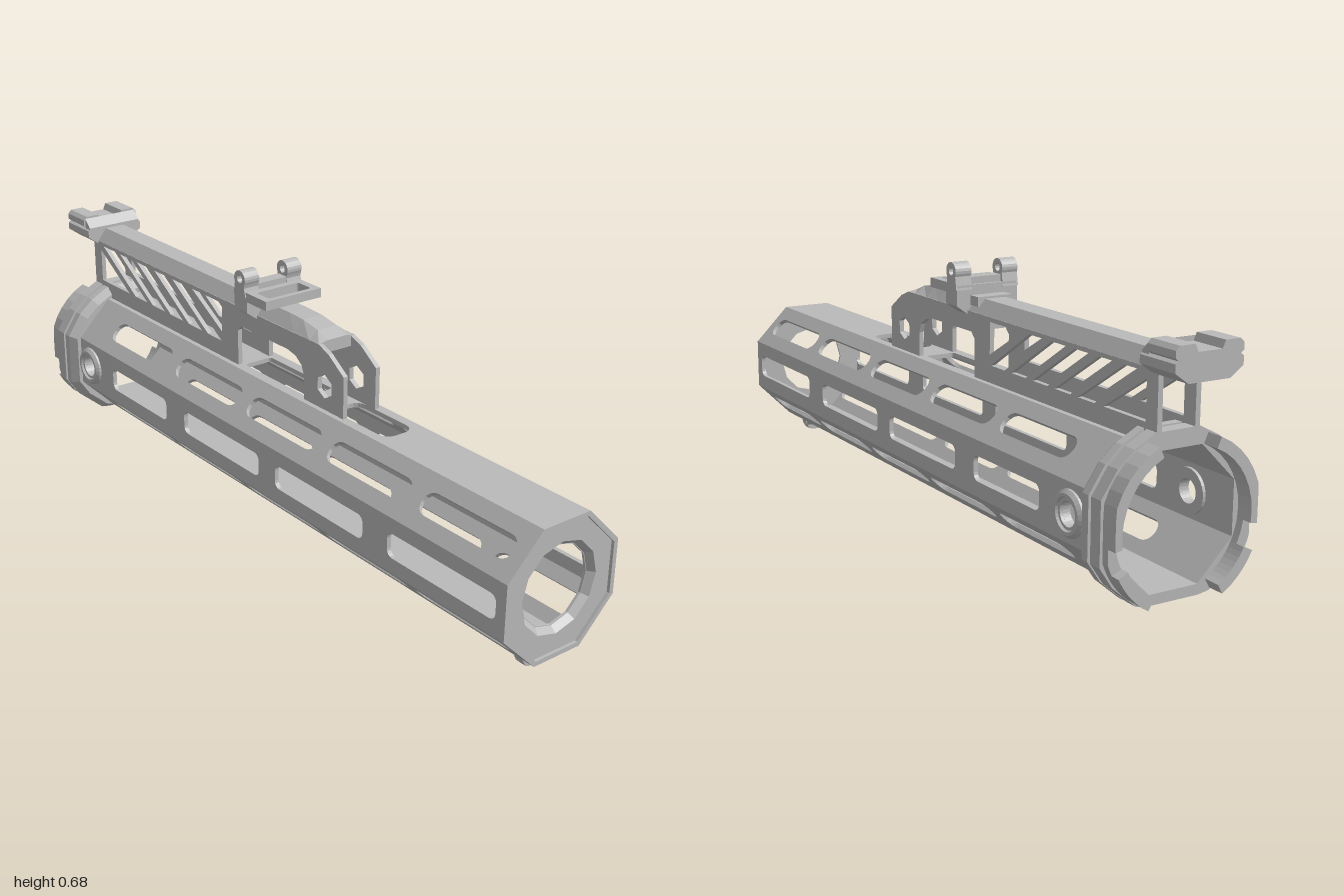
import * as THREE from 'three';

const CY = 0.217, AP = 0.173; // tube axis height and octagon apothem
const metal = new THREE.MeshStandardMaterial({ color: 0xbababa });
metal.name = 'grey metal';

const poly = (pts, C = THREE.Shape) => new C(pts.map(p => new THREE.Vector2(p[0], p[1])));
const ngon = (n, r, a0 = 0, cx = 0, cy = 0) => Array.from({ length: n }, (_, i) => {
  const a = a0 + i * Math.PI * 2 / n;
  return [cx + r * Math.cos(a), cy + r * Math.sin(a)];
});
const octagon = ap => ngon(8, ap / Math.cos(Math.PI / 8), Math.PI / 8);
const mirrored = half => [...half, ...half.slice().reverse().map(p => [-p[0], p[1]])];

// rectangular opening with rounded corners
function slot(x0, x1, y0, y1, r) {
  const pts = [];
  [[x1 - r, y1 - r], [x0 + r, y1 - r], [x0 + r, y0 + r], [x1 - r, y0 + r]].forEach(([cx, cy], q) => {
    for (let i = 0; i <= 4; i++) {
      const a = (q + i / 4) * Math.PI / 2;
      pts.push([cx + r * Math.cos(a), cy + r * Math.sin(a)]);
    }
  });
  return pts;
}

function extrude(outline, holes, depth) {
  const s = poly(outline);
  s.holes = holes.map(h => poly(h, THREE.Path));
  return new THREE.ExtrudeGeometry(s, { depth, bevelEnabled: false });
}
// outline in the x-y plane, spanning z0..z1
const alongZ = (o, h, z0, z1) => extrude(o, h, z1 - z0).translate(0, 0, z0);
// outline in the z-y plane, spanning x0..x1
const alongX = (o, h, x0, x1) => extrude(o, h, x1 - x0).rotateY(Math.PI / 2).translate(x0, 0, 0);

// skin over equal-length closed cross-sections of [x, y, z] points
function loft(sections, capped = true) {
  const v = [], n = sections[0].length;
  const tri = (a, b, c) => v.push(...a, ...b, ...c);
  for (let s = 0; s + 1 < sections.length; s++) for (let i = 0; i < n; i++) {
    const j = (i + 1) % n, A = sections[s], B = sections[s + 1];
    tri(A[i], A[j], B[j]);
    tri(A[i], B[j], B[i]);
  }
  if (capped) {
    const A = sections[0], B = sections[sections.length - 1];
    for (let i = 1; i + 1 < n; i++) { tri(A[0], A[i + 1], A[i]); tri(B[0], B[i], B[i + 1]); }
  }
  const g = new THREE.BufferGeometry();
  g.setAttribute('position', new THREE.Float32BufferAttribute(v, 3));
  g.computeVertexNormals();
  return g;
}
const ringAt = (pts, x) => pts.map(([z, y]) => [x, y + CY, -z]);

export function createModel() {
  const root = new THREE.Group();
  root.name = 'handguard';
  const add = (name, geo, parent = root) => {
    const m = new THREE.Mesh(geo, metal);
    m.name = name;
    parent.add(m);
    return m;
  };

  // octagonal tube: eight slotted panels
  const tube = new THREE.Group();
  tube.name = 'octagonTube';
  tube.position.y = CY;
  root.add(tube);
  const half = AP * Math.tan(Math.PI / 8), wall = 0.012;
  const sideSlots = [[-0.63, -0.34], [-0.25, 0.10], [0.17, 0.52], [0.61, 0.97]].map(([a, b]) => slot(a, b, -0.032, 0.032, 0.018));
  const diagSlots = [0, 1, 2, 3, 4].map(i => slot(-0.69 + i * 0.34, -0.395 + i * 0.34, -0.03, 0.03, 0.028));
  const topSlots = [slot(-0.14, 0.13, -0.043, 0.043, 0.01), slot(0.235, 0.45, -0.045, 0.045, 0.03)];
  const socketHole = ngon(20, 0.03, 0, -0.755, 0);
  for (let i = 0; i < 8; i++) {
    const holes = i % 2 ? diagSlots : i === 2 ? topSlots : i === 6 ? [] : [...sideSlots, socketHole];
    const panel = alongZ([[-0.86, -half], [1, -half], [1, half], [-0.86, half]], holes, AP - wall, AP);
    add('tubePanel', panel, tube).rotation.x = -i * Math.PI / 4;
  }

  // front cap with a tapered twelve-sided bore
  const bore = r => ngon(12, r, Math.PI / 2);
  add('frontCap', alongX(octagon(0.163), [bore(0.117)], 0.976, 0.992).translate(0, CY, 0));
  add('frontCapBack', alongX(octagon(0.163), [bore(0.102)], 0.97, 0.976).translate(0, CY, 0));
  add('boreTaper', loft([ringAt(bore(0.117), 0.992), ringAt(bore(0.102), 0.974)], false));

  // rear collar: faceted rings with a groove, then a taper onto the tube
  const side = [[0.07, -0.187], [0.1, -0.182], [0.165, -0.127], [0.2, -0.075], [0.2, 0.075], [0.158, 0.137], [0.115, 0.174], [0.06, 0.203]];
  const collar = k => mirrored(side).map(([z, y]) => [z * k, y * k]);
  for (const [a, b, k] of [[-0.905, -0.87, 1], [-0.87, -0.86, 0.95], [-0.86, -0.838, 1]])
    add('collarRing', alongX(collar(k), [octagon(0.161)], a, b).translate(0, CY, 0));
  add('collarTaper', loft([ringAt(collar(1), -0.838), ringAt(collar(0.92), -0.815)], false));
  add('collarFace', alongX(collar(0.92), [octagon(0.162)], -0.82, -0.815).translate(0, CY, 0));

  // rear locking tabs, with a shallow bridge across each side notch
  for (const s of [1, -1]) for (const [d0, d1, x0] of [[-8, 66, -0.95], [-60, -26, -0.95], [-26, -8, -0.925]]) {
    const out = [], inn = [];
    for (let i = 0; i <= 8; i++) {
      const a = THREE.MathUtils.degToRad(d0 + (d1 - d0) * i / 8);
      out.push([s * Math.min(0.203 * Math.cos(a), 0.193), 0.203 * Math.sin(a)]);
      inn.unshift([s * 0.176 * Math.cos(a), 0.176 * Math.sin(a)]);
    }
    add('lockingTab', alongX([...out, ...inn], [], x0, -0.9).translate(0, CY, 0));
  }

  // sling sockets on both sides
  const socket = [[0.03, -0.02], [0.056, -0.02], [0.056, 0.006], [0.048, 0.014], [0.04, 0.014],
    [0.037, 0.008], [0.03, 0.008], [0.03, -0.02]].map(p => new THREE.Vector2(...p));
  for (const s of [1, -1]) {
    const m = add('slingSocket', new THREE.LatheGeometry(socket, 28).toNonIndexed());
    m.geometry.computeVertexNormals();
    m.rotation.x = s * Math.PI / 2;
    m.position.set(-0.755, CY, s * AP);
  }

  // bottom hand stop near the front
  add('handStop', alongX(mirrored([[0.055, 0.05], [0.047, 0.018], [0.038, 0.004], [0.028, 0]]), [], 0.918, 0.945));
  add('handStopBase', alongZ([[0.865, 0.05], [0.868, 0.036], [0.9, 0.031], [0.915, 0.02], [0.92, 0.012], [0.93, 0.012], [0.944, 0.05]], [], -0.046, 0.046));

  // carry riser: two pierced side walls
  const wallOutline = [[-0.905, 0.385], [-0.15, 0.385], [-0.15, 0.49], [-0.135, 0.505], [0.07, 0.505], [0.105, 0.498],
    [0.13, 0.48], [0.14, 0.455], [0.14, 0.385], [0.3, 0.385], [0.3, 0.502], [0.24, 0.543], [0.2, 0.558], [0.16, 0.558], [-0.905, 0.555]];
  const truss = [[[-0.865, 0.53], [-0.865, 0.435], [-0.71, 0.435]], [[-0.37, 0.545], [-0.225, 0.545], [-0.225, 0.462]]];
  for (const x of [-0.85, -0.755, -0.66, -0.565, -0.47])
    truss.push([[x, 0.545], [x + 0.065, 0.545], [x + 0.24, 0.435], [x + 0.175, 0.435]]);
  const wallHoles = [...truss, ngon(6, 0.032, Math.PI / 6, 0.225, 0.453)];
  for (const z of [-0.058, 0.045]) add('riserWall', alongZ(wallOutline, wallHoles, z, z + 0.013));

  // chamfered roof, open ahead of the arch: x, ridge, shoulder, underside
  const roof = [[-0.93, 0.59, 0.555, 0.547], [0.04, 0.59, 0.555, 0.545], [0.1, 0.588, 0.556, 0.54],
    [0.16, 0.578, 0.558, 0.53], [0.2, 0.563, 0.558, 0.53]];
  add('riserRoof', loft(roof.map(([x, hi, m, lo]) =>
    [[x, lo, 0.057], [x, lo, -0.057], [x, m, -0.058], [x, hi, -0.03], [x, hi, 0.03], [x, m, 0.058]])));
  add('archCeiling', new THREE.BoxGeometry(0.29, 0.04, 0.1).translate(-0.01, 0.53, 0));

  // rear rail clamp
  add('rearClampLower', alongX(mirrored([[0.055, 0.545], [0.09, 0.57], [0.09, 0.59], [0.08, 0.596]]), [], -1, -0.88));
  add('rearClampUpper', alongX(mirrored([[0.08, 0.594], [0.09, 0.602], [0.09, 0.618], [0.08, 0.628], [0.04, 0.628], [0.032, 0.61]]), [], -1, -0.905));
  add('rearClampSlope', loft([[-0.905, 0.622], [-0.88, 0.598]].map(([x, y]) =>
    [[x, 0.592, 0.085], [x, 0.592, -0.085], [x, y, -0.085], [x, y, 0.085]])));

  // folding sight: base, ears with pivot, and front frame
  const sight = new THREE.Group();
  sight.name = 'foldingSight';
  root.add(sight);
  add('sightBase', alongX(mirrored([[0.055, 0.545], [0.09, 0.57], [0.09, 0.615], [0.085, 0.622]]), [], -0.117, -0.062), sight);
  add('sightRearFoot', new THREE.BoxGeometry(0.05, 0.025, 0.1).translate(-0.13, 0.583, 0), sight);
  add('sightBlock', new THREE.BoxGeometry(0.035, 0.03, 0.12).translate(-0.09, 0.625, 0), sight);
  const ear = [[-0.118, 0.61], [-0.065, 0.61], [-0.072, 0.635]];
  for (let i = 0; i <= 14; i++) {
    const a = -0.5 + i / 14 * (Math.PI + 1);
    ear.push([-0.091 + 0.024 * Math.cos(a), 0.656 + 0.024 * Math.sin(a)]);
  }
  for (const z of [-0.092, 0.046])
    add('sightEar', alongZ(ear, [ngon(14, 0.011, 0, -0.091, 0.657)], z, z + 0.046), sight);
  const frame = extrude([[-0.07, -0.089], [0.02, -0.089], [0.02, 0.089], [-0.07, 0.089]],
    [slot(-0.05, 0.005, -0.068, 0.068, 0.008)], 0.025);
  add('sightFrame', frame.rotateX(-Math.PI / 2).translate(0, 0.6, 0), sight);
  return root;
}
